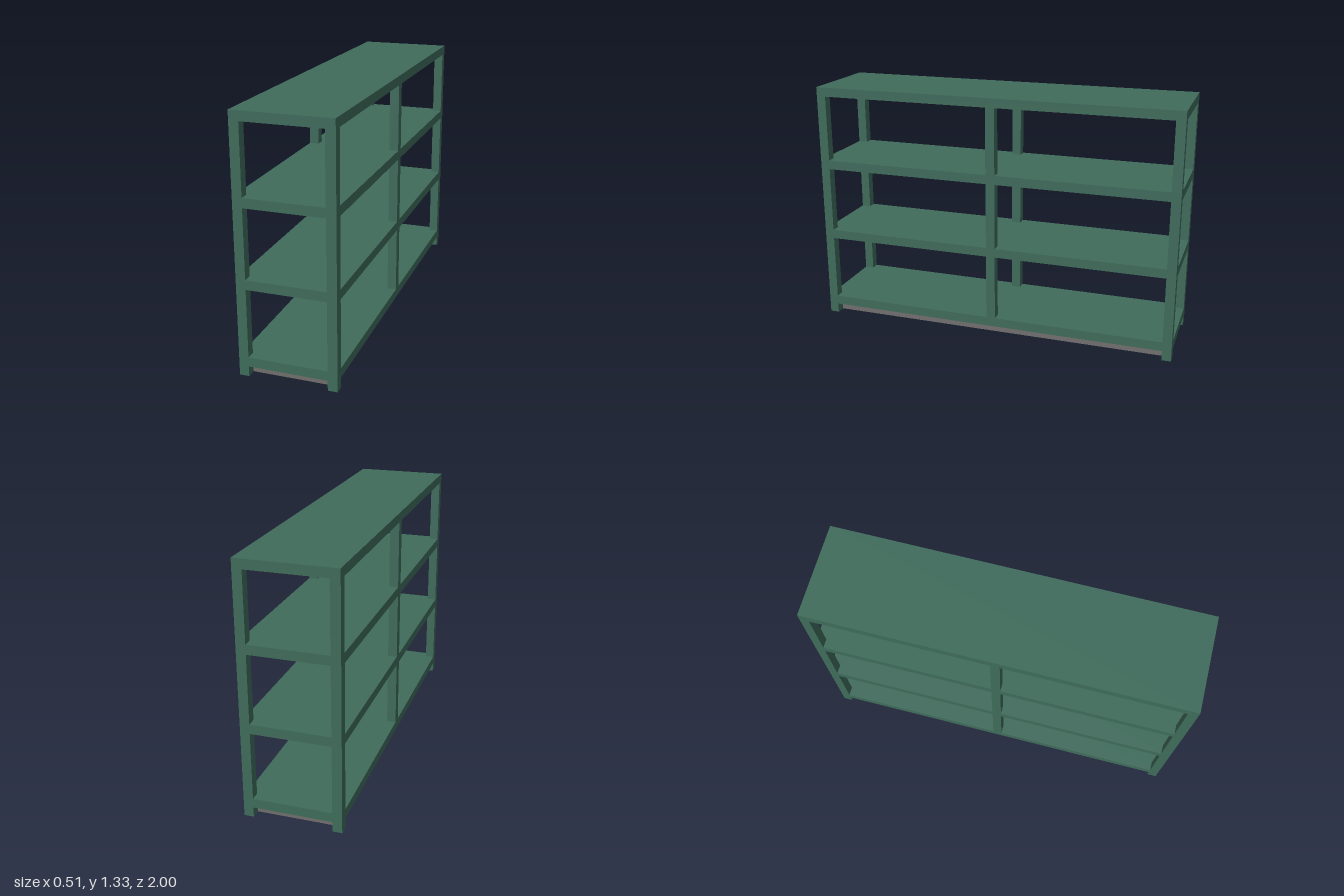
import * as THREE from 'three';

const WIDTH = 0.51, LENGTH = 2, BAR = 0.05;
const SHELF_BOTTOMS = [0.053, 0.463, 0.873, 1.283];

export function createModel() {
  const model = new THREE.Group();
  model.name = 'shelvingUnit';

  const green = new THREE.MeshStandardMaterial({ color: 0x3f6b5b });
  green.name = 'green paint';
  const grey = new THREE.MeshStandardMaterial({ color: 0x706d6d });
  grey.name = 'grey plinth';

  // Box given by its centre in x and z and its bottom and top in y
  function addBox(name, material, w, d, bottom, top, x = 0, z = 0) {
    const mesh = new THREE.Mesh(new THREE.BoxGeometry(w, top - bottom, d), material);
    mesh.name = name;
    mesh.position.set(x, (bottom + top) / 2, z);
    model.add(mesh);
  }

  // Shelves, the highest one being the top board
  SHELF_BOTTOMS.forEach((y, i) => {
    const name = i === SHELF_BOTTOMS.length - 1 ? 'topBoard' : 'shelf' + (i + 1);
    addBox(name, green, WIDTH, LENGTH, y, y + BAR);
  });

  // Feet at the corners, then corner and middle posts between the shelves
  const px = (WIDTH - BAR) / 2, pz = (LENGTH - BAR) / 2;
  for (const x of [-px, px]) {
    for (const z of [-pz, 0, pz]) {
      if (z !== 0) addBox('foot', green, BAR, BAR, 0, SHELF_BOTTOMS[0], x, z);
      for (let i = 0; i < SHELF_BOTTOMS.length - 1; i++) {
        const name = z === 0 ? 'middlePost' : 'cornerPost';
        addBox(name, green, BAR, BAR, SHELF_BOTTOMS[i] + BAR, SHELF_BOTTOMS[i + 1], x, z);
      }
    }
  }

  // Recessed plinth between the feet
  addBox('plinth', grey, WIDTH - 2 * BAR, LENGTH - 2 * BAR, 0, SHELF_BOTTOMS[0]);

  return model;
}
